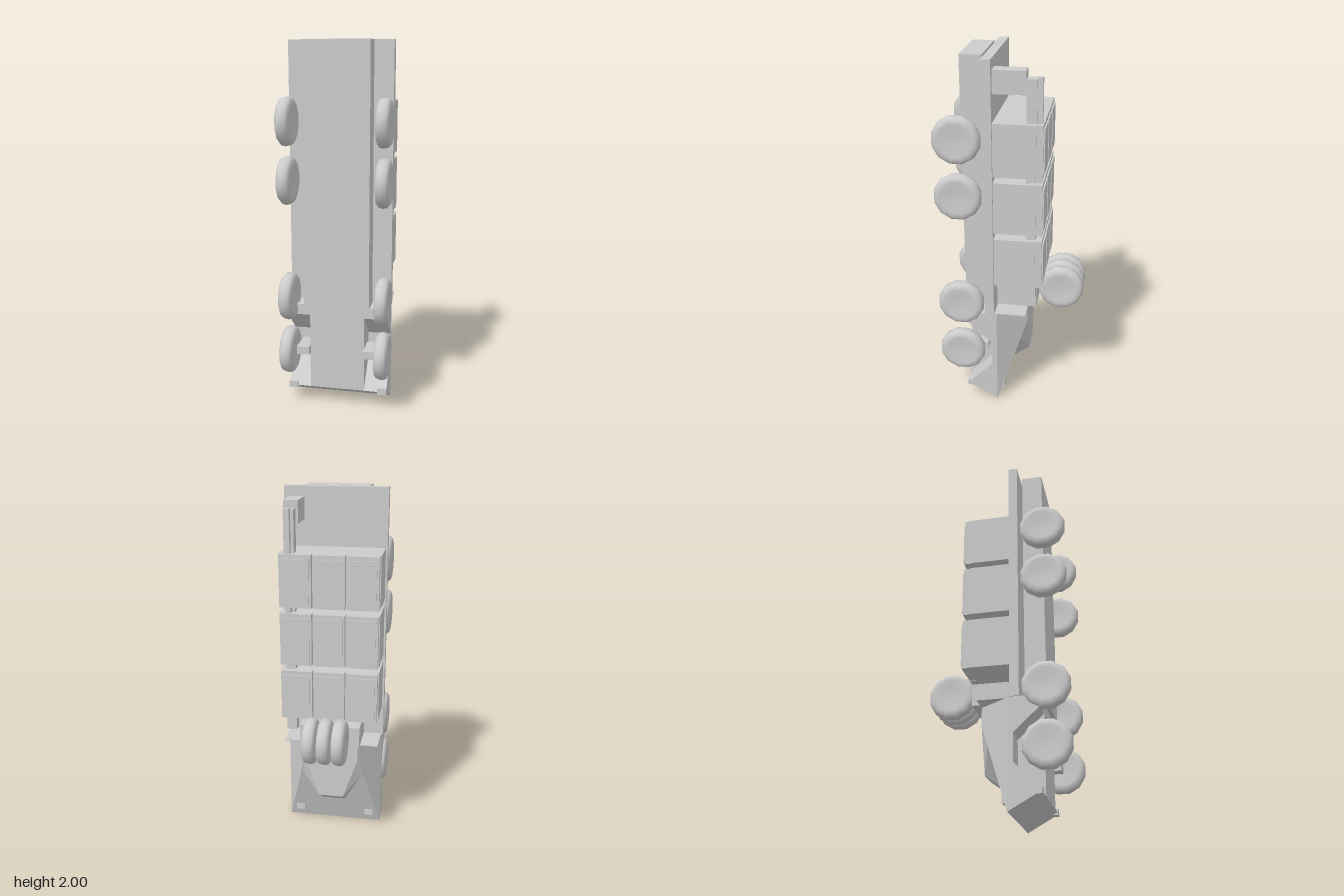
import * as THREE from 'three';
import { ConvexGeometry } from 'three/addons/geometries/ConvexGeometry.js';

const grey = new THREE.MeshStandardMaterial({ color: 0xcccccc });
grey.name = 'plainGrey';

export function createModel() {
  const model = new THREE.Group();
  model.name = 'truck';

  const add = (name, geometry) => {
    const mesh = new THREE.Mesh(geometry, grey);
    mesh.name = name;
    model.add(mesh);
    return mesh;
  };
  // Box from its low and high corners
  const box = (name, x0, x1, y0, y1, z0, z1) => {
    const mesh = add(name, new THREE.BoxGeometry(x1 - x0, y1 - y0, z1 - z0));
    mesh.position.set((x0 + x1) / 2, (y0 + y1) / 2, (z0 + z1) / 2);
    return mesh;
  };
  // Convex solid from points mirrored in x
  const hull = (name, points) => add(name, new ConvexGeometry(points.flatMap(([x, y, z]) => [
    new THREE.Vector3(x, y, z), new THREE.Vector3(-x, y, z),
  ])));
  // Side outline of [z, y] points, extruded across x
  const slab = (name, outline, x0, x1) => {
    const shape = new THREE.Shape(outline.map(([z, y]) => new THREE.Vector2(-z, y)));
    const geometry = new THREE.ExtrudeGeometry(shape, { depth: x1 - x0, bevelEnabled: false });
    geometry.rotateY(Math.PI / 2);
    geometry.translate(x0, 0, 0);
    return add(name, geometry);
  };

  // Chassis and load deck
  box('chassis', -0.18, 0.18, 0.58, 2, 0.145, 0.26);
  box('deck', -0.283, 0.283, 0.58, 2, 0.083, 0.133);

  // Cargo containers: three rows of three, each with a raised lid
  for (const [y0, y1] of [[0.76, 1.04], [1.075, 1.363], [1.395, 1.68]]) {
    box('containerRow', -0.273, 0.267, y0, y1, -0.14, 0.083);
    for (const x of [-0.182, -0.003, 0.176]) {
      box('container', x - 0.086, x + 0.086, y0, y1, -0.175, -0.13);
      box('containerLid', x - 0.074, x + 0.074, y0 + 0.022, y1 - 0.022, -0.183, -0.174);
    }
  }

  // Crane
  box('craneBase', 0.172, 0.25, 1.825, 1.945, -0.087, 0.083);
  box('craneBoom', 0.185, 0.24, 0.675, 1.903, -0.14, -0.087);
  box('craneTip', 0.202, 0.23, 1.1, 1.91, -0.168, -0.14);

  // Equipment box behind the cab
  box('equipmentBox', -0.17, 0.17, 0.585, 0.705, -0.14, 0.083);

  // Wheels and spares
  const tyre = new THREE.LatheGeometry([
    [0, -0.029], [0.06, -0.031], [0.09, -0.037], [0.112, -0.034], [0.126, -0.022],
    [0.131, 0], [0.126, 0.022], [0.112, 0.034], [0.09, 0.037], [0.06, 0.031], [0, 0.029],
  ].map(([r, h]) => new THREE.Vector2(r, h)), 12);
  tyre.rotateY(Math.PI / 12);
  tyre.rotateZ(Math.PI / 2);
  const wheel = (name, x, y, z) => add(name, tyre).position.set(x, y, z);
  for (const y of [0.325, 0.635, 1.275, 1.585]) {
    for (const s of [-1, 1]) wheel('wheel', s * 0.258, y, 0.27);
  }
  for (const x of [-0.08, 0, 0.08]) wheel('spareWheel', x, 0.675, -0.27);

  // Lower cab: solid centre and side walls with wheel arches
  slab('cabCentre', [[0.07, 0], [0.24, 0.095], [0.24, 0.58], [0.07, 0.58]], -0.152, 0.152);
  const arch = [[0.07, 0], [0.24, 0.095], [0.1, 0.24], [0.1, 0.39], [0.24, 0.52], [0.24, 0.58], [0.07, 0.58]];
  slab('leftWheelArch', arch, 0.152, 0.277);
  slab('rightWheelArch', arch, -0.277, -0.152);

  // Upper cab: tapered shell, windscreen hump and rear plate
  hull('cabShell', [[0.277, 0, 0.07], [0.277, 0.58, 0.07], [0.155, 0.58, -0.09], [0.155, 0.48, -0.09]]);
  hull('windscreenHump', [
    [0.07, 0.165, 0.01], [0.18, 0.375, -0.05], [0.07, 0.235, -0.09],
    [0.08, 0.38, -0.09], [0.155, 0.48, -0.09], [0.1, 0.5, 0],
  ]);
  box('cabRearPlate', -0.27, 0.27, 0.575, 0.582, -0.09, 0.07);

  // Axle stubs and lamps
  for (const s of [-1, 1]) {
    const stub = box('axleStub', -0.035, 0.035, 0.3, 0.345, 0.225, 0.28);
    stub.position.x = s * 0.185;
    const link = box('axleLink', -0.035, 0.035, 0.31, 0.345, 0.13, 0.235);
    link.position.x = s * 0.185;
    const bumperLamp = box('bumperLamp', -0.025, 0.025, 0.08, 0.115, 0.205, 0.242);
    bumperLamp.position.x = s * 0.252;
    const headlamp = box('headlamp', -0.025, 0.025, 0.05, 0.085, 0.035, 0.065);
    headlamp.position.x = s * 0.21;
  }

  return model;
}
